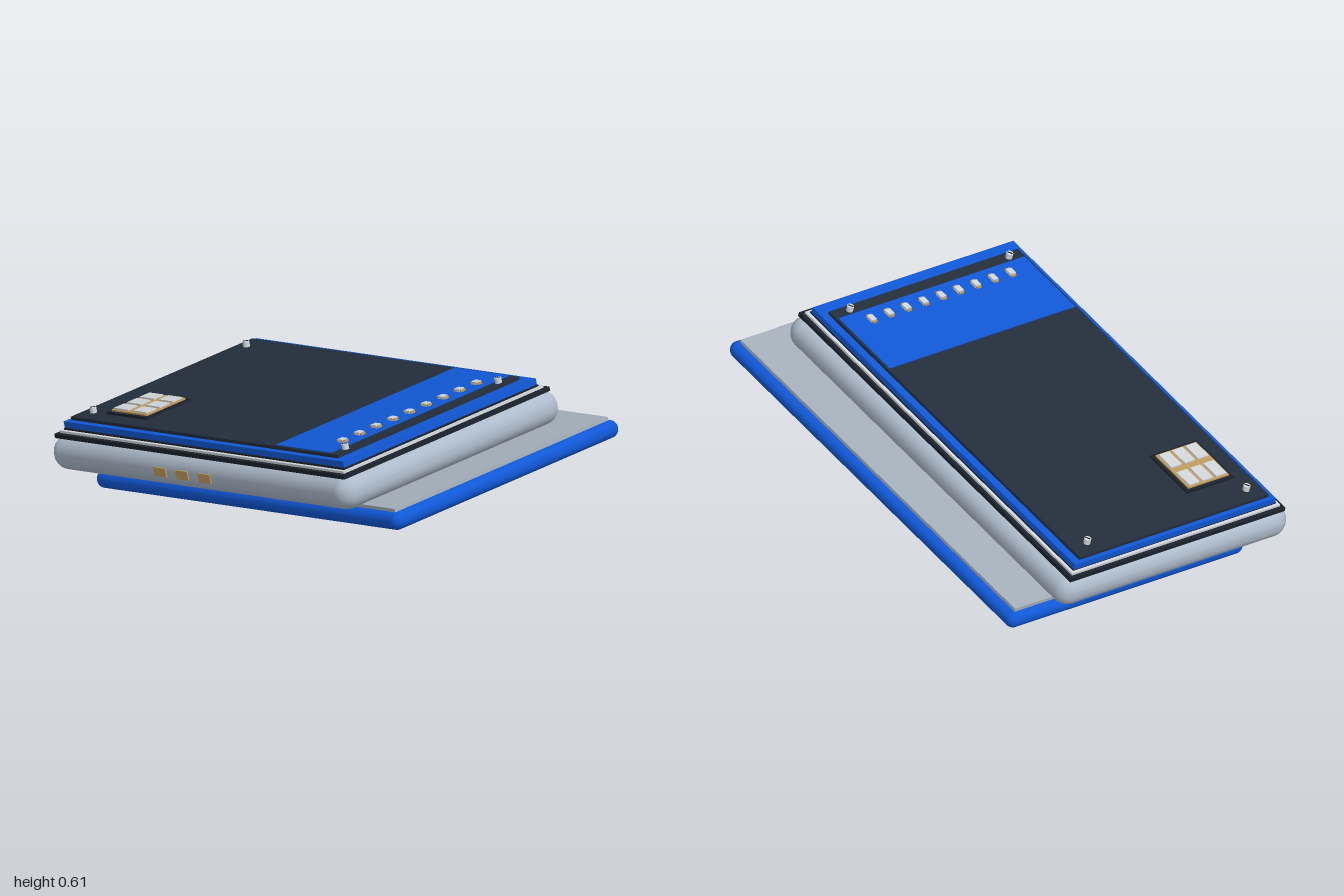
import * as THREE from 'three';
import { RoundedBoxGeometry } from 'three/addons/geometries/RoundedBoxGeometry.js';

const flat = (name, color) => {
  const m = new THREE.MeshStandardMaterial({ color });
  m.name = name;
  return m;
};

export function createModel() {
  const blue = flat('blue', 0x1058d6);
  const shell = flat('shell grey', 0xacbaca);
  const inlayGrey = flat('inlay grey', 0xa5b0bb);
  const dark = flat('dark slate', 0x232e3b);
  const black = flat('gasket black', 0x1b222c);
  const pale = flat('pale grey', 0xd0d6db);
  const gold = flat('gold', 0xbf9a5c);

  // Device is built flat (x long side, y up through the layers, z short side), then tilted
  const device = new THREE.Group();
  device.name = 'device';

  const add = (name, geo, mat, x, y, z, parent = device) => {
    const mesh = new THREE.Mesh(geo, mat);
    mesh.name = name;
    mesh.position.set(x, y, z);
    parent.add(mesh);
    return mesh;
  };
  // Box given by its footprint centre and its bottom and top heights
  const slab = (name, mat, x, z, w, d, y0, y1, parent) =>
    add(name, new THREE.BoxGeometry(w, y1 - y0, d), mat, x, (y0 + y1) / 2, z, parent);
  const group = (name) => {
    const g = new THREE.Group();
    g.name = name;
    device.add(g);
    return g;
  };

  // Rear cover with its inlay
  add('rearCover', new RoundedBoxGeometry(1.72, 0.066, 1.09, 5, 0.032), blue, 0, 0, 0);
  slab('rearInlay', inlayGrey, 0, 0, 1.66, 1.03, 0.02, 0.046);

  // Main body, slid toward the front left
  const cx = -0.097, cz = 0.134;
  add('body', new RoundedBoxGeometry(1.69, 0.126, 1.06, 6, 0.06), shell, cx, 0.129, cz);

  // Stacked layers on the body
  slab('gasket', black, cx, cz, 1.645, 0.995, 0.188, 0.204);
  slab('spacer', pale, cx, cz, 1.615, 0.965, 0.204, 0.213);
  slab('shadowGap', black, cx, cz, 1.592, 0.94, 0.213, 0.219);
  slab('frontFrame', blue, -0.101, 0.131, 1.588, 0.932, 0.219, 0.242);
  slab('board', dark, -0.12, 0.135, 1.516, 0.878, 0.242, 0.254);
  slab('bluePanel', blue, 0.436, 0.135, 0.308, 0.862, 0.254, 0.257);

  // Row of contact pins on the blue panel
  const pins = group('contactPins');
  for (let i = 0; i < 9; i++) {
    const z = -0.187 + i * 0.0806;
    slab('pin', pale, 0.534, z, 0.03, 0.024, 0.256, 0.268, pins);
    for (const s of [-1, 1]) slab('pinEnd', gold, 0.534 + s * 0.018, z, 0.008, 0.02, 0.256, 0.265, pins);
  }

  // Chip: dark base, gold carrier, six pads
  const chip = group('chip');
  const px = -0.636, pz = 0.401;
  slab('chipBase', black, px, pz, 0.226, 0.216, 0.254, 0.262, chip);
  slab('chipCarrier', gold, px, pz, 0.2, 0.188, 0.262, 0.268, chip);
  for (const i of [-1, 1])
    for (const j of [-1, 0, 1])
      slab('pad', pale, px + i * 0.054, pz + j * 0.062, 0.078, 0.048, 0.268, 0.273, chip);

  // Corner screws with slots
  const screws = group('screws');
  for (const x of [-0.821, 0.612])
    for (const z of [-0.228, 0.511]) {
      add('screwHead', new THREE.CylinderGeometry(0.013, 0.013, 0.022, 16), pale, x, 0.264, z, screws);
      const slot = slab('screwSlot', black, x, z, 0.02, 0.004, 0.274, 0.277, screws);
      slot.rotation.y = 0.6;
    }

  // Side ports along the front edge
  const ports = group('sidePorts');
  for (const x of [-0.3, -0.175, -0.047])
    slab('port', gold, x, 0.662, 0.068, 0.012, 0.112, 0.146, ports);

  // Tilt the whole stack
  const u = new THREE.Vector3(1, 0.142, 0.231).normalize();
  const w = new THREE.Vector3(-0.21, -0.143, 1);
  const n = new THREE.Vector3().crossVectors(w, u).normalize();
  w.crossVectors(u, n);
  device.quaternion.setFromRotationMatrix(new THREE.Matrix4().makeBasis(u, n, w));
  device.position.set(0.06, 0.223, -0.05);

  const model = new THREE.Group();
  model.name = 'model';
  model.add(device);
  return model;
}
